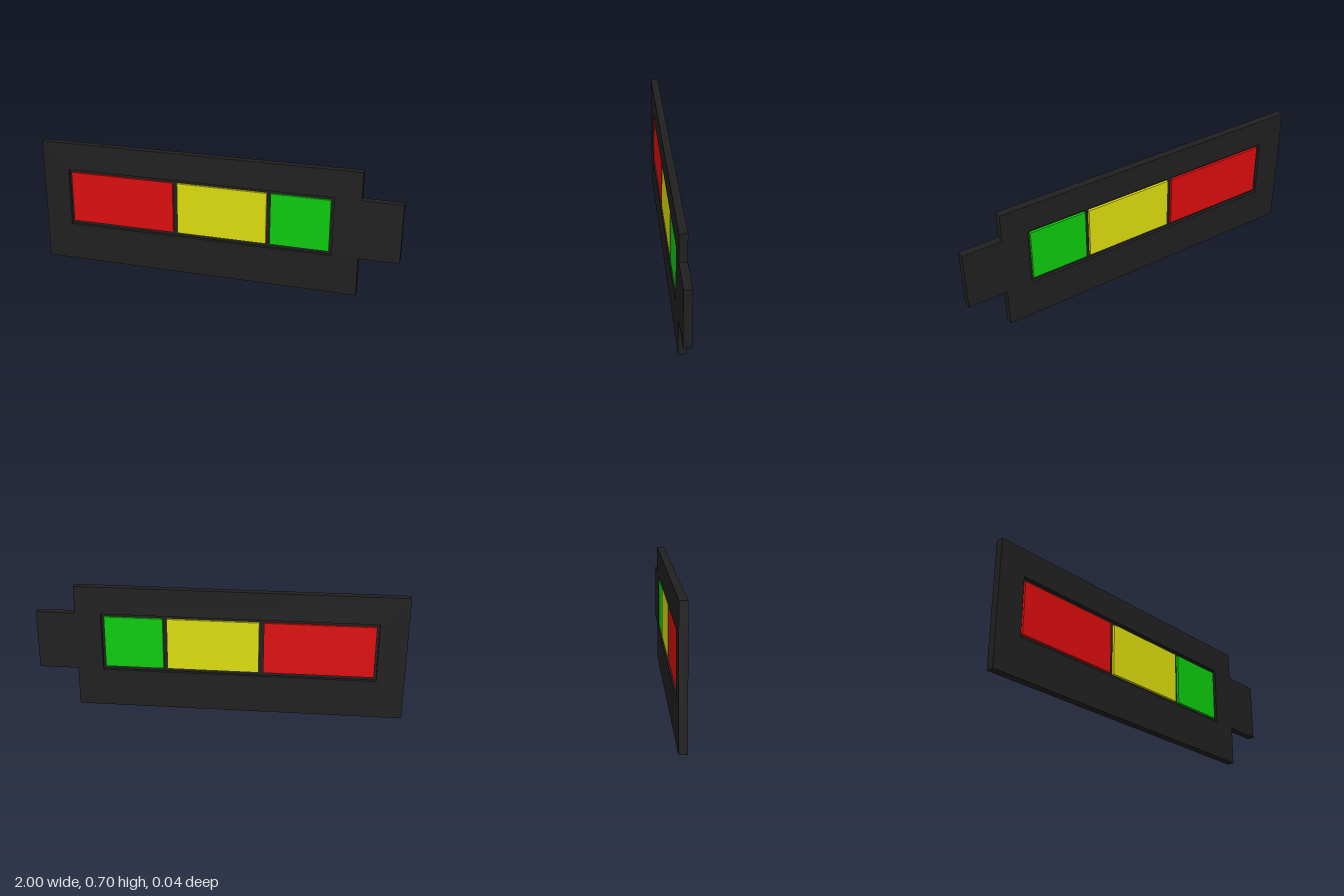
import * as THREE from 'three';

const DEPTH = 0.042;
const material = (color) => new THREE.MeshStandardMaterial({ color });

// Axis-aligned slab from its x and y limits, centred on z = 0
function slab(name, x0, x1, y0, y1, depth, mat) {
  const mesh = new THREE.Mesh(new THREE.BoxGeometry(x1 - x0, y1 - y0, depth), mat);
  mesh.position.set((x0 + x1) / 2, (y0 + y1) / 2, 0);
  mesh.name = name;
  return mesh;
}

export function createModel() {
  const group = new THREE.Group();
  group.name = 'batteryIndicator';
  const dark = material(0x202020);

  // Casing with terminal tab, and a window for the charge bars
  const outline = new THREE.Shape([
    [-1, 0], [0.785, 0], [0.785, 0.217], [1, 0.217],
    [1, 0.543], [0.785, 0.543], [0.785, 0.696], [-1, 0.696],
  ].map(([x, y]) => new THREE.Vector2(x, y)));
  outline.holes.push(new THREE.Path([
    [-0.85, 0.215], [-0.85, 0.543], [0.643, 0.543], [0.643, 0.215],
  ].map(([x, y]) => new THREE.Vector2(x, y))));
  const casingGeometry = new THREE.ExtrudeGeometry(outline, { depth: DEPTH, bevelEnabled: false });
  casingGeometry.translate(0, 0, -DEPTH / 2);
  const casing = new THREE.Mesh(casingGeometry, dark);
  casing.name = 'casing';
  group.add(casing);

  // Thin wall closing the window halfway through
  group.add(slab('windowBacking', -0.85, 0.643, 0.215, 0.543, 0.006, dark));

  // Charge bars, seen from both sides and set just below the casing faces
  const bars = [
    ['redBar', -0.836, -0.24, 0xdd0d0d],
    ['yellowBar', -0.215, 0.284, 0xdddd0d],
    ['greenBar', 0.306, 0.627, 0x0dcc0d],
  ];
  for (const [name, x0, x1, color] of bars) {
    group.add(slab(name, x0, x1, 0.235, 0.525, 0.034, material(color)));
  }
  return group;
}
